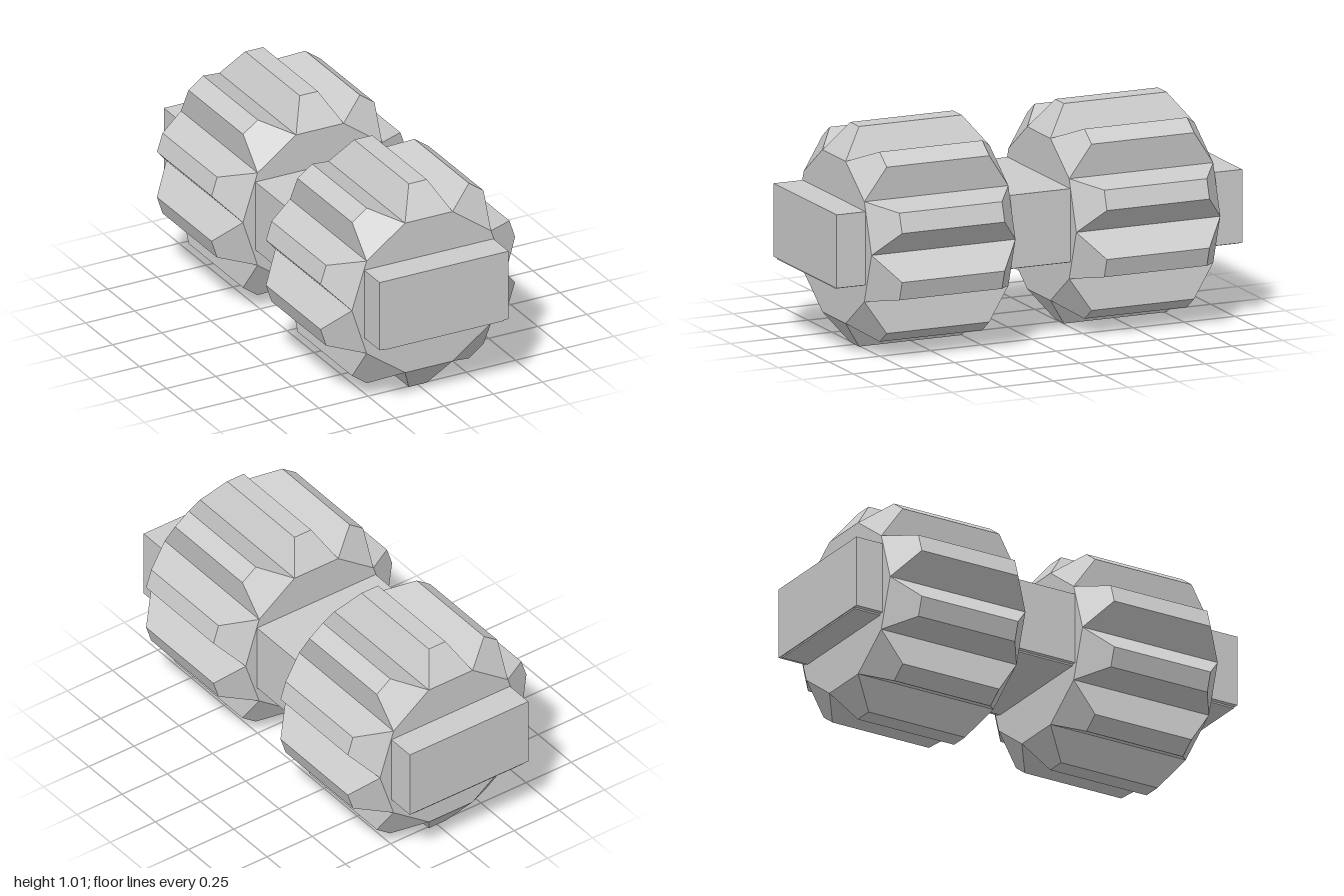
import * as THREE from 'three';

const material = new THREE.MeshStandardMaterial({ color: 0xcccccc, flatShading: true });
const SIDES = 10, RADIUS = 0.391, CENTRE_Y = 0.505, DEPTH = 0.71;
const APOTHEM = RADIUS * Math.cos(Math.PI / SIDES);
const HALF_SIDE = RADIUS * Math.sin(Math.PI / SIDES);

function addMesh(parent, name, geometry, x = 0, y = 0, z = 0) {
  const mesh = new THREE.Mesh(geometry, material);
  mesh.name = name;
  mesh.position.set(x, y, z);
  parent.add(mesh);
  return mesh;
}

// Tooth: a box standing on one side of the drum, tapered towards its tip
function toothGeometry() {
  const height = 0.505 - APOTHEM;
  const geometry = new THREE.BoxGeometry(2 * HALF_SIDE, height, DEPTH);
  geometry.translate(0, APOTHEM + height / 2, 0);
  const p = geometry.attributes.position;
  for (let i = 0; i < p.count; i++) {
    if (p.getY(i) < APOTHEM + height / 2) continue;
    p.setX(i, Math.sign(p.getX(i)) * 0.046);
    p.setZ(i, Math.sign(p.getZ(i)) * 0.253);
  }
  geometry.computeVertexNormals();
  return geometry;
}

// Wheel: ten-sided drum with a tooth on every side
function createWheel(name, z) {
  const wheel = new THREE.Group();
  wheel.name = name;
  wheel.position.set(0, CENTRE_Y, z);
  const drum = new THREE.CylinderGeometry(RADIUS, RADIUS, DEPTH, SIDES, 1, false, Math.PI / 2);
  drum.rotateX(Math.PI / 2);
  addMesh(wheel, 'drum', drum);
  const tooth = toothGeometry();
  for (let i = 0; i < SIDES; i++) {
    addMesh(wheel, 'tooth', tooth).rotation.z = (i * 2 * Math.PI) / SIDES;
  }
  return wheel;
}

export function createModel() {
  const model = new THREE.Group();
  model.name = 'toothedRoller';

  // Rectangular bar through both wheels, with a thin plate underneath
  addMesh(model, 'bar', new THREE.BoxGeometry(0.656, 0.337, 2), 0, 0.5235, 0);
  addMesh(model, 'bottomPlate', new THREE.BoxGeometry(0.612, 0.02, 1.99), 0, 0.358, 0);

  model.add(createWheel('frontWheel', 0.503), createWheel('backWheel', -0.507));
  return model;
}
